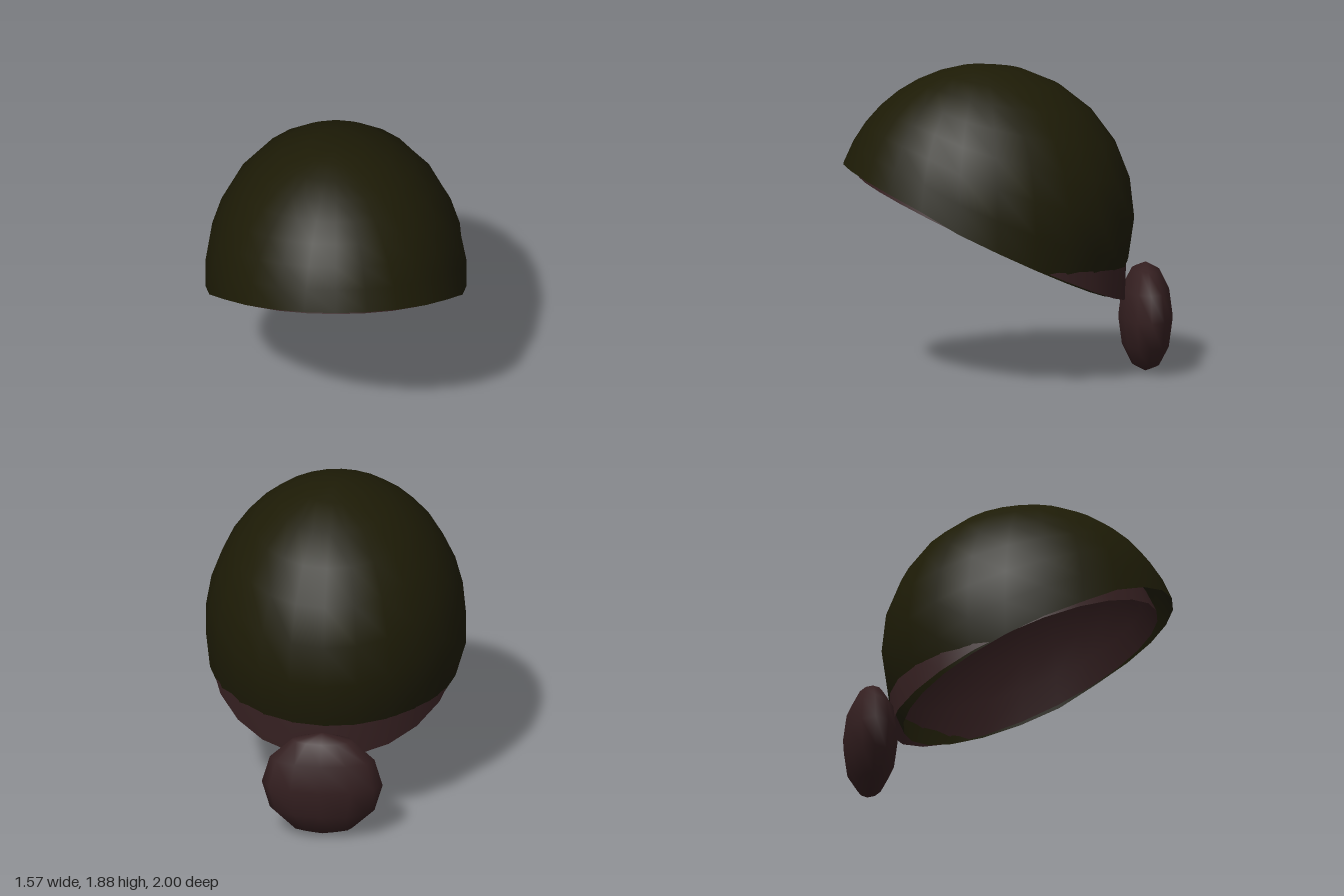
import * as THREE from 'three';
import { mergeVertices } from 'three/addons/utils/BufferGeometryUtils.js';

const SEGS = 24, ROWS = 8;

// Point on an egg-shaped dome
function domePoint(dome, angle, theta) {
  const s = Math.sin(theta);
  return new THREE.Vector3(Math.sin(angle) * s, Math.cos(theta), Math.cos(angle) * s)
    .multiply(dome.radii).add(dome.centre);
}

// Angle from the crown at which the dome meets its slanted hem
function hemAngle(dome, angle) {
  let lo = 0.3, hi = 2.6;
  for (let i = 0; i < 40; i++) {
    const mid = (lo + hi) / 2, p = domePoint(dome, angle, mid);
    if (p.y > dome.hem(p.z)) lo = mid; else hi = mid;
  }
  return lo;
}

// Open shell of rings running from the crown down to the hem
function domeGeometry(dome) {
  const pos = [], index = [];
  for (let j = 0; j <= ROWS; j++) {
    for (let i = 0; i < SEGS; i++) {
      const a = (i / SEGS) * Math.PI * 2;
      pos.push(...domePoint(dome, a, hemAngle(dome, a) * j / ROWS).toArray());
    }
  }
  for (let j = 0; j < ROWS; j++) {
    for (let i = 0; i < SEGS; i++) {
      const k = (i + 1) % SEGS;
      const a = j * SEGS + i, b = j * SEGS + k, c = a + SEGS, d = b + SEGS;
      index.push(a, c, d);
      if (j > 0) index.push(a, d, b);
    }
  }
  let g = new THREE.BufferGeometry();
  g.setAttribute('position', new THREE.Float32BufferAttribute(pos, 3));
  g.setIndex(index);
  g = mergeVertices(g);
  g.computeVertexNormals();
  return g;
}

export function createModel() {
  const group = new THREE.Group();
  const green = new THREE.MeshStandardMaterial({ color: 0x1d1b06, side: THREE.DoubleSide });
  green.name = 'dark olive';
  const brown = new THREE.MeshStandardMaterial({ color: 0x341f20, side: THREE.DoubleSide });
  brown.name = 'dark brown';

  const add = (name, geometry, material) => {
    const m = new THREE.Mesh(geometry, material);
    m.name = name;
    group.add(m);
    return m;
  };

  // Outer cap, its hem lifted a little over the brow
  add('cap', domeGeometry({
    centre: new THREE.Vector3(0, 0.95, 0.145),
    radii: new THREE.Vector3(0.79, 0.93, 0.912),
    hem: z => 0.775 + 0.487 * z + 0.025 * THREE.MathUtils.smoothstep(z, 0.35, 0.65),
  }), green);

  // Taller, narrower hair dome inside, coming out past the cap at the nape
  add('hair', domeGeometry({
    centre: new THREE.Vector3(0, 0.6, 0.15),
    radii: new THREE.Vector3(0.765, 1.2, 0.87),
    hem: z => 0.782 + 0.47 * z,
  }), brown);

  // Bun at the nape
  const bun = add('bun', new THREE.SphereGeometry(1, 12, 6), brown);
  bun.scale.set(0.365, 0.332, 0.165);
  bun.position.set(0, 0.332, -0.835);

  return group;
}
